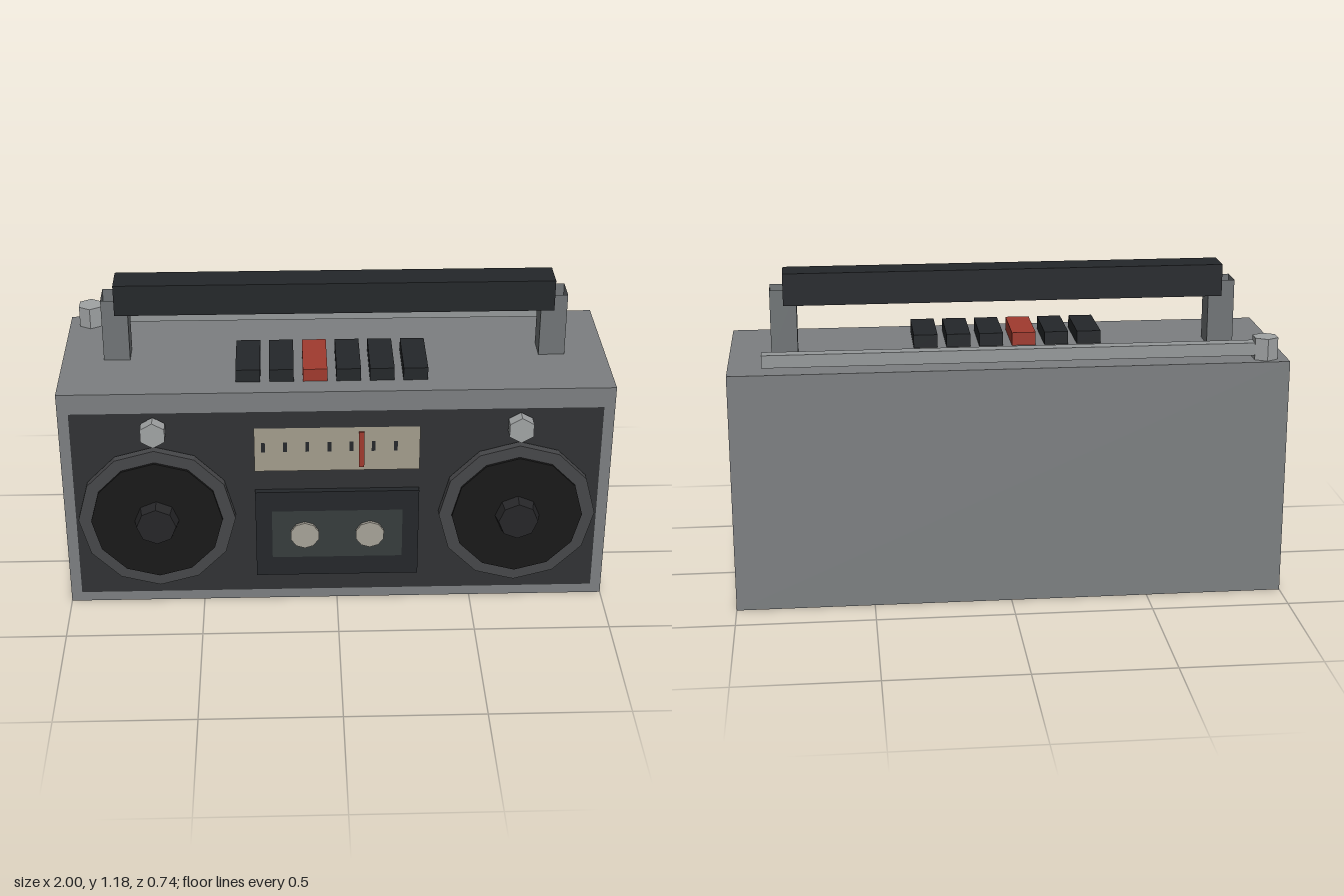
import * as THREE from 'three';

const mat = (color, side = THREE.FrontSide) =>
  new THREE.MeshStandardMaterial({ color, side, flatShading: true });

const M = {
  body: mat(0x7c7f81, THREE.DoubleSide), panel: mat(0x303234), dark: mat(0x24272a),
  ring: mat(0x464749), cone: mat(0x181818), hub: mat(0x262628), dial: mat(0xa29c8c),
  red: mat(0xa03a2e), metal: mat(0xa0a3a4), post: mat(0x707476, THREE.DoubleSide),
  window: mat(0x363c3c), reel: mat(0xa6a298),
  grip: mat(0x24272a, THREE.DoubleSide), rod: mat(0x95999a, THREE.DoubleSide),
};

// sides of a BoxGeometry, in its own order
const TOP = 2, BOTTOM = 3;

export function createModel() {
  const model = new THREE.Group();
  const add = (name, geometry, material, x, y, z, parent = model) => {
    const mesh = new THREE.Mesh(geometry, material);
    mesh.name = name;
    mesh.position.set(x, y, z);
    parent.add(mesh);
  };

  // box given by its ranges on each axis, with some sides left open
  const box = (name, material, [x0, x1], [y0, y1], [z0, z1], open = []) => {
    const geometry = new THREE.BoxGeometry(x1 - x0, y1 - y0, z1 - z0);
    const index = Array.from(geometry.index.array);
    geometry.setIndex(index.filter((_, i) => !open.includes(Math.floor(i / 6))));
    geometry.clearGroups();
    add(name, geometry, material, (x0 + x1) / 2, (y0 + y1) / 2, (z0 + z1) / 2);
  };

  // flat rectangle facing the front
  const sheet = (name, material, [x0, x1], [y0, y1], z) =>
    add(name, new THREE.PlaneGeometry(x1 - x0, y1 - y0), material, (x0 + x1) / 2, (y0 + y1) / 2, z);

  // faceted disc facing the front, from z0 to z1
  const disc = (name, material, rFront, rBack, sides, x, y, z0, z1, parent) =>
    add(name, new THREE.CylinderGeometry(rFront, rBack, z1 - z0, sides).rotateX(Math.PI / 2),
      material, x, y, (z0 + z1) / 2, parent);

  // open-ended square tube along x
  const squareTube = (name, material, length, size, x, y, z) =>
    add(name, new THREE.CylinderGeometry(size / Math.SQRT2, size / Math.SQRT2, length, 4, 1, true)
      .rotateY(Math.PI / 4).rotateZ(Math.PI / 2), material, x, y, z);

  // case, hollow and open below, and front panel
  box('case', M.body, [-1, 1], [0, 0.88], [-0.367, 0.272], [BOTTOM]);
  sheet('frontPanel', M.panel, [-0.96, 0.96], [0.04, 0.803], 0.275);

  // speakers, knobs and handle posts on both sides
  for (const s of [-1, 1]) {
    const speaker = new THREE.Group();
    speaker.name = s > 0 ? 'leftSpeaker' : 'rightSpeaker';
    speaker.position.set(s * 0.66, 0.382, 0);
    model.add(speaker);
    disc('speakerRing', M.ring, 0.287, 0.287, 12, 0, 0, 0.281, 0.313, speaker);
    disc('speakerCone', M.cone, 0.24, 0.24, 12, 0, 0, 0.29, 0.323, speaker);
    disc('speakerHub', M.hub, 0.072, 0.083, 8, 0, 0, 0.315, 0.368, speaker);

    disc('knob', M.metal, 0.05, 0.05, 6, s * 0.66, 0.74, 0.281, 0.328);
    box('handlePost', M.post, [s * 0.8 - 0.048, s * 0.8 + 0.048], [0.88, 1.12], [-0.098, 0.003],
      [TOP, BOTTOM]);
  }

  // carrying handle
  squareTube('handleGrip', M.grip, 1.6, 0.118, 0, 1.122, -0.048);

  // tuning dial with ticks and needle
  sheet('dial', M.dial, [-0.3, 0.3], [0.56, 0.738], 0.28);
  for (let i = 0; i < 7; i++) {
    const x = -0.268 + i * 0.08;
    sheet('dialTick', M.dark, [x - 0.007, x + 0.007], [0.641, 0.681], 0.283);
  }
  box('dialNeedle', M.red, [0.079, 0.098], [0.578, 0.722], [0.284, 0.292]);

  // cassette door with window and reels
  box('cassetteDoor', M.dark, [-0.3, 0.3], [0.12, 0.48], [0.273, 0.298]);
  sheet('cassetteWindow', M.window, [-0.24, 0.24], [0.2, 0.4], 0.301);
  for (const x of [-0.12, 0.12]) disc('reel', M.reel, 0.054, 0.054, 10, x, 0.301, 0.303, 0.314);

  // row of top buttons, the third one red
  for (let i = 0; i < 6; i++) {
    const x = -0.318 + i * 0.1208;
    box('button', i === 2 ? M.red : M.dark, [x - 0.044, x + 0.044], [0.88, 0.928], [-0.05, 0.19]);
  }

  // folded antenna and its pivot
  squareTube('antennaRod', M.rod, 1.798, 0.046, -0.021, 0.919, -0.308);
  add('antennaPivot', new THREE.CylinderGeometry(0.048, 0.048, 0.08, 6), M.metal, -0.92, 0.92, -0.308);

  return model;
}
